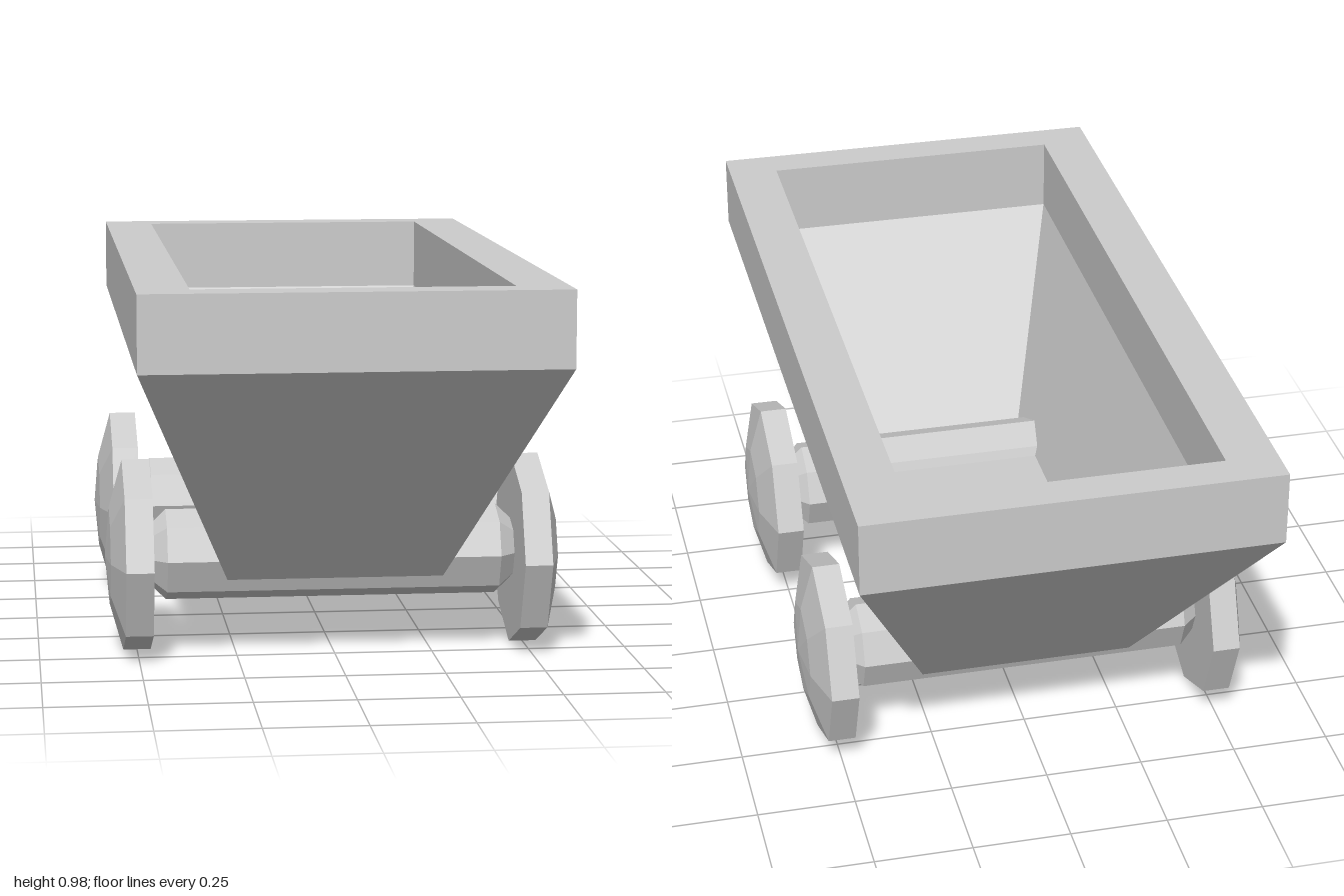
import * as THREE from 'three';

const material = new THREE.MeshStandardMaterial({ color: 0xcccccc, flatShading: true });

// Skins rectangular loops [halfX, y, halfZ] and closes both ends
function rectangularSkin(levels) {
  const loops = levels.map(([x, y, z]) => [[-x, y, z], [x, y, z], [x, y, -z], [-x, y, -z]]);
  const positions = [];
  const quad = (a, b, c, d) => positions.push(...a, ...b, ...c, ...a, ...c, ...d);
  for (let i = 0; i < loops.length - 1; i++) {
    for (let j = 0; j < 4; j++) {
      const k = (j + 1) % 4;
      quad(loops[i][j], loops[i][k], loops[i + 1][k], loops[i + 1][j]);
    }
  }
  quad(...[...loops[0]].reverse());
  quad(...loops[loops.length - 1]);
  const geometry = new THREE.BufferGeometry();
  geometry.setAttribute('position', new THREE.Float32BufferAttribute(positions, 3));
  geometry.computeVertexNormals();
  return geometry;
}

// Eight-sided turned part along x, from [radius, x] points
function turned(points) {
  const profile = points.map(([r, x]) => new THREE.Vector2(r, x));
  return new THREE.LatheGeometry(profile, 8).rotateZ(-Math.PI / 2);
}

export function createModel() {
  const model = new THREE.Group();
  model.name = 'mineCart';
  const add = (name, geometry, parent = model) => {
    const mesh = new THREE.Mesh(geometry, material);
    mesh.name = name;
    parent.add(mesh);
    return mesh;
  };

  // Hollow tub: up the outside, over the rim, down the inside to the floor
  add('tub', rectangularSkin([
    [0.275, 0.2, 0.52],
    [0.52, 0.79, 1],
    [0.52, 0.98, 1],
    [0.39, 0.98, 0.905],
    [0.39, 0.79, 0.905],
    [0.225, 0.305, 0.52],
  ]));

  const axleGeometry = turned([
    [0, -0.47], [0.078, -0.465], [0.117, -0.425],
    [0.117, 0.425], [0.078, 0.465], [0, 0.47],
  ]);
  // Flat inner face, straight tread, shallow domed cap
  const wheelGeometry = turned([
    [0, 0.465], [0.247, 0.465], [0.247, 0.535], [0.125, 0.569], [0, 0.58],
  ]);

  // Two wheelsets
  for (const [end, z] of [['front', 0.405], ['rear', -0.405]]) {
    const wheelset = new THREE.Group();
    wheelset.name = `${end}Wheelset`;
    wheelset.position.set(0, 0.247, z);
    add(`${end}Axle`, axleGeometry, wheelset);
    add(`${end}LeftWheel`, wheelGeometry, wheelset);
    add(`${end}RightWheel`, wheelGeometry, wheelset).rotation.y = Math.PI;
    model.add(wheelset);
  }
  return model;
}
